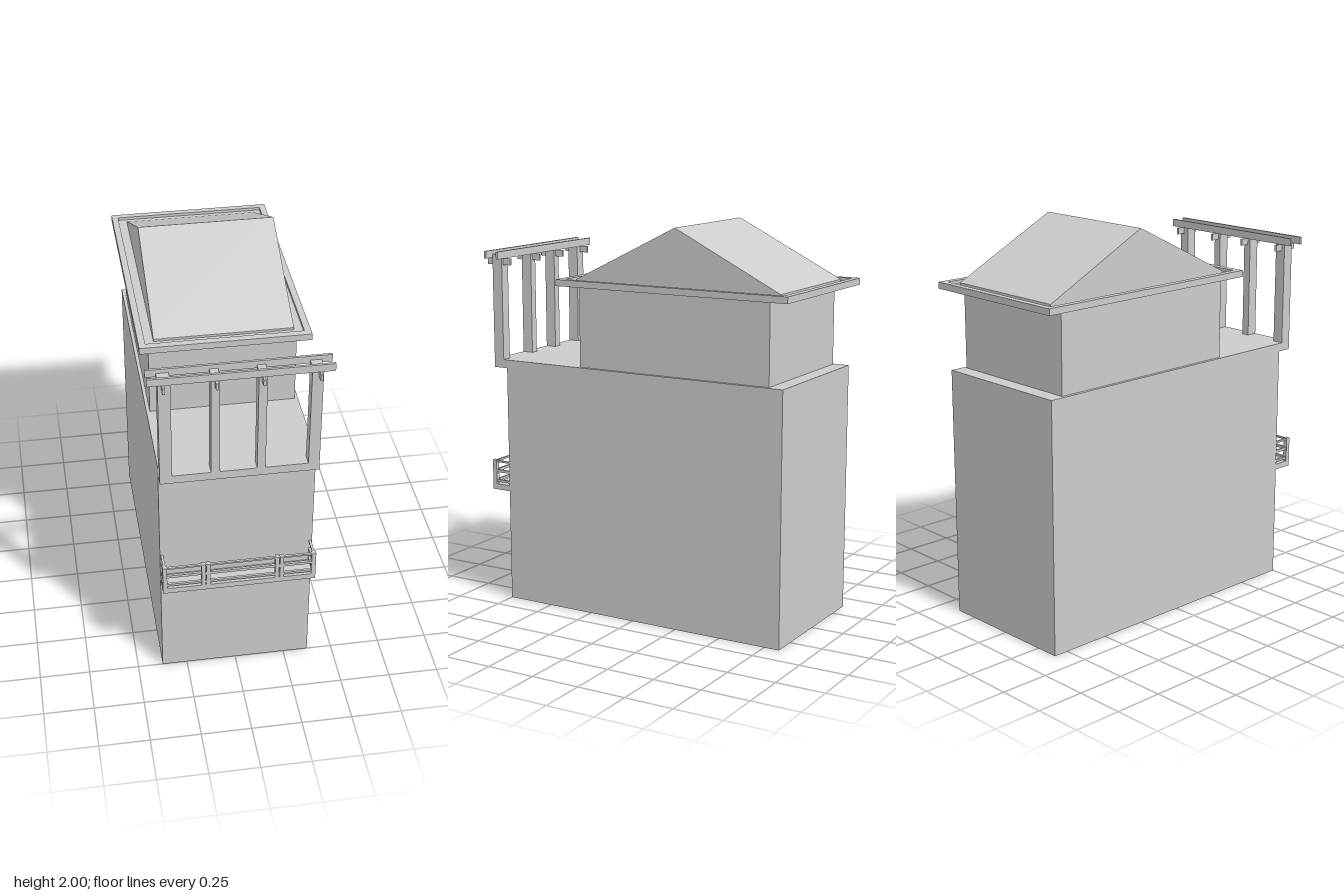
import * as THREE from 'three';

const material = new THREE.MeshStandardMaterial({ color: 0xcccccc, side: THREE.DoubleSide });

export function createModel() {
  const model = new THREE.Group();

  const addMesh = (name, geometry, parent = model) => {
    const mesh = new THREE.Mesh(geometry, material);
    mesh.name = name;
    parent.add(mesh);
    return mesh;
  };

  // Box given by its extents along each axis
  const addBox = (name, [x0, x1], [y0, y1], [z0, z1], parent = model) => {
    const mesh = addMesh(name, new THREE.BoxGeometry(x1 - x0, y1 - y0, z1 - z0), parent);
    mesh.position.set((x0 + x1) / 2, (y0 + y1) / 2, (z0 + z1) / 2);
    return mesh;
  };

  const addGroup = (name) => {
    const group = new THREE.Group();
    group.name = name;
    model.add(group);
    return group;
  };

  // Main block, left open underneath (the fourth box side is the bottom)
  const block = addBox('mainBlock', [-0.375, 0.375], [0, 1.28], [-0.83, 0.75]);
  const index = Array.from(block.geometry.index.array);
  index.splice(18, 6);
  block.geometry.setIndex(index);
  block.geometry.clearGroups();

  // Set-back upper storey
  addBox('upperRoom', [-0.358, 0.358], [1.28, 1.705], [-0.75, 0.31]);

  // Eaves: a thin soffit inside a raised rim
  const roof = addGroup('roof');
  addBox('soffit', [-0.38, 0.38], [1.698, 1.706], [-0.835, 0.38], roof);
  const rimShape = new THREE.Shape([
    new THREE.Vector2(-0.41, -0.415), new THREE.Vector2(0.41, -0.415),
    new THREE.Vector2(0.41, 0.865), new THREE.Vector2(-0.41, 0.865),
  ]);
  rimShape.holes.push(new THREE.Path([
    new THREE.Vector2(-0.378, -0.38), new THREE.Vector2(-0.378, 0.833),
    new THREE.Vector2(0.378, 0.833), new THREE.Vector2(0.378, -0.38),
  ]));
  const rim = new THREE.ExtrudeGeometry(rimShape, { depth: 0.033, bevelEnabled: false });
  rim.rotateX(-Math.PI / 2);
  addMesh('eavesRim', rim, roof).position.y = 1.688;

  // Gable roof with its ridge running left to right
  const gable = new THREE.Shape([
    new THREE.Vector2(-0.343, 1.706), new THREE.Vector2(0.793, 1.706),
    new THREE.Vector2(0.793, 1.718), new THREE.Vector2(0.224, 2),
    new THREE.Vector2(-0.343, 1.718),
  ]);
  const gableGeometry = new THREE.ExtrudeGeometry(gable, { depth: 0.67, bevelEnabled: false });
  gableGeometry.translate(0, 0, -0.335);
  gableGeometry.rotateY(Math.PI / 2);
  addMesh('gableRoof', gableGeometry, roof);

  // Pergola on the front edge of the terrace
  const pergola = addGroup('pergola');
  addBox('sill', [-0.375, 0.375], [1.237, 1.28], [0.75, 0.827], pergola);
  const posts = [[-0.375, -0.317], [-0.136, -0.095], [0.08, 0.12], [0.322, 0.375]];
  const rafters = [-0.352, -0.113, 0.1, 0.358];
  posts.forEach((span, i) => {
    addBox('pergolaPost', span, [1.28, 1.82], [0.77, 0.827], pergola);
    const x = rafters[i];
    addBox('rafter', [x - 0.006, x + 0.006], [1.768, 1.802], [0.725, 0.865], pergola);
  });
  for (const z of [0.763, 0.837]) {
    addBox('topBeam', [-0.425, 0.425], [1.802, 1.84], [z - 0.006, z + 0.006], pergola);
  }

  // Balcony with posts and three rails on the front and both sides
  const balcony = addGroup('balcony');
  addBox('balconyFloor', [-0.375, 0.375], [0.582, 0.612], [0.75, 0.855], balcony);
  const balconyPosts = [[-0.375, -0.354], [-0.186, -0.167], [-0.163, -0.144],
    [0.175, 0.194], [0.198, 0.217], [0.354, 0.375]];
  for (const span of balconyPosts) {
    addBox('balconyPost', span, [0.612, 0.74], [0.832, 0.855], balcony);
  }
  for (const height of [[0.728, 0.737], [0.674, 0.688], [0.622, 0.634]]) {
    addBox('frontRail', [-0.36, 0.36], height, [0.838, 0.85], balcony);
    for (const side of [-1, 1]) {
      const x = side * 0.365;
      addBox('sideRail', [x - 0.006, x + 0.006], height, [0.75, 0.84], balcony);
    }
  }

  return model;
}
